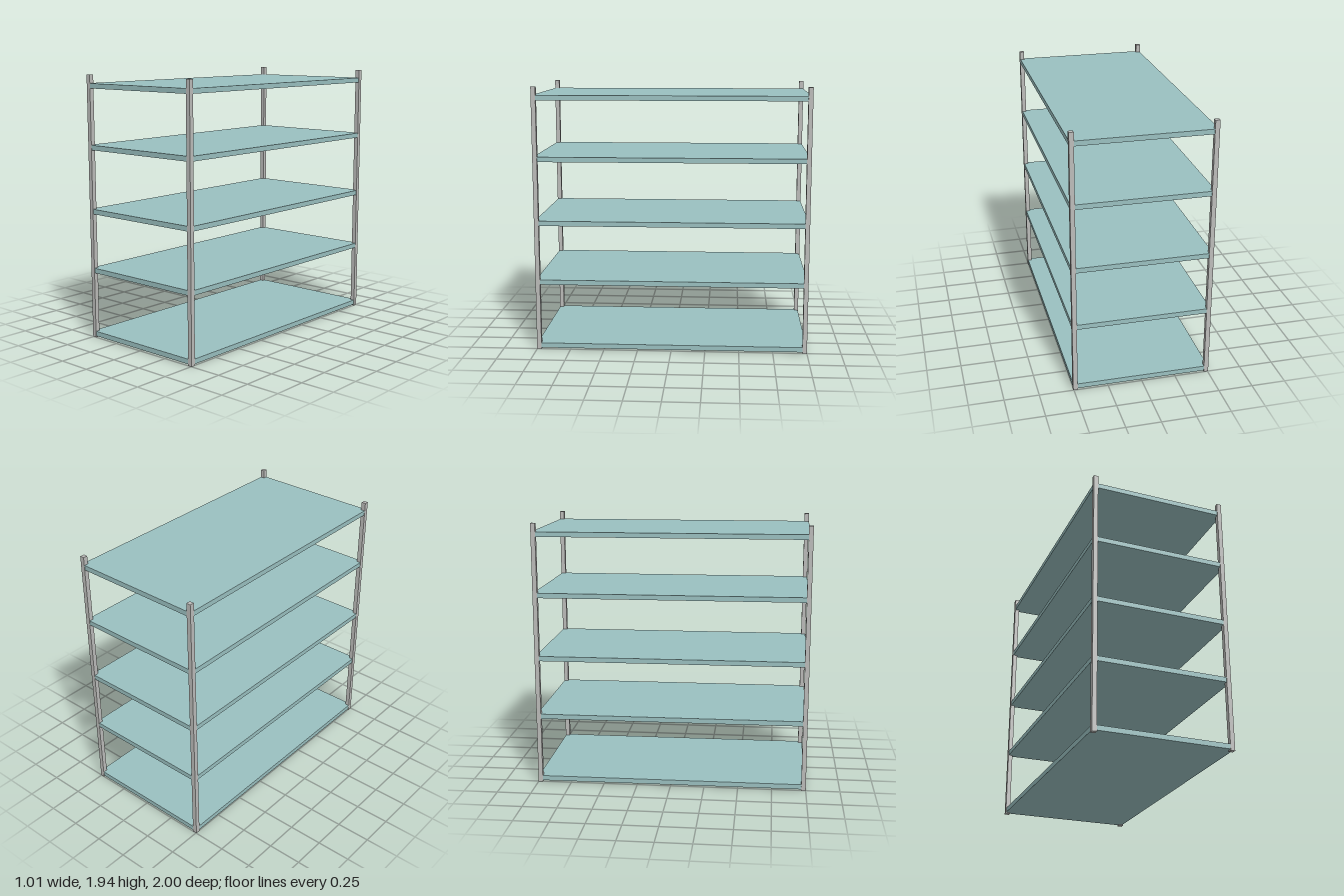
import * as THREE from 'three';

const HALF_W = 0.505, HALF_D = 1.0, HEIGHT = 1.943;
const POST = 0.033;          // square post section
const SHELF_T = 0.036;       // shelf thickness
const INSET = 0.003;         // posts stand slightly proud of the shelves

export function createModel() {
  const shelfPaint = new THREE.MeshStandardMaterial({ color: 0x9ac0c0 });
  shelfPaint.name = 'pale teal';
  const postMetal = new THREE.MeshStandardMaterial({ color: 0xbcbcba });
  postMetal.name = 'light grey';

  const rack = new THREE.Group();
  rack.name = 'shelvingRack';

  const addBox = (name, size, position, material) => {
    const mesh = new THREE.Mesh(new THREE.BoxGeometry(...size), material);
    mesh.name = name;
    mesh.position.set(...position);
    rack.add(mesh);
  };

  // Four square corner posts
  for (const [sideName, sx] of [['Left', 1], ['Right', -1]]) {
    for (const [endName, sz] of [['front', 1], ['back', -1]]) {
      addBox(`${endName}${sideName}Post`, [POST, HEIGHT, POST],
        [sx * (HALF_W - POST / 2), HEIGHT / 2, sz * (HALF_D - POST / 2)], postMetal);
    }
  }

  // Five flat shelves, by centre height
  [0.028, 0.511, 0.952, 1.421, 1.864].forEach((y, i) => {
    addBox(`shelf${i + 1}`, [2 * (HALF_W - INSET), SHELF_T, 2 * (HALF_D - INSET)],
      [0, y, 0], shelfPaint);
  });

  return rack;
}
